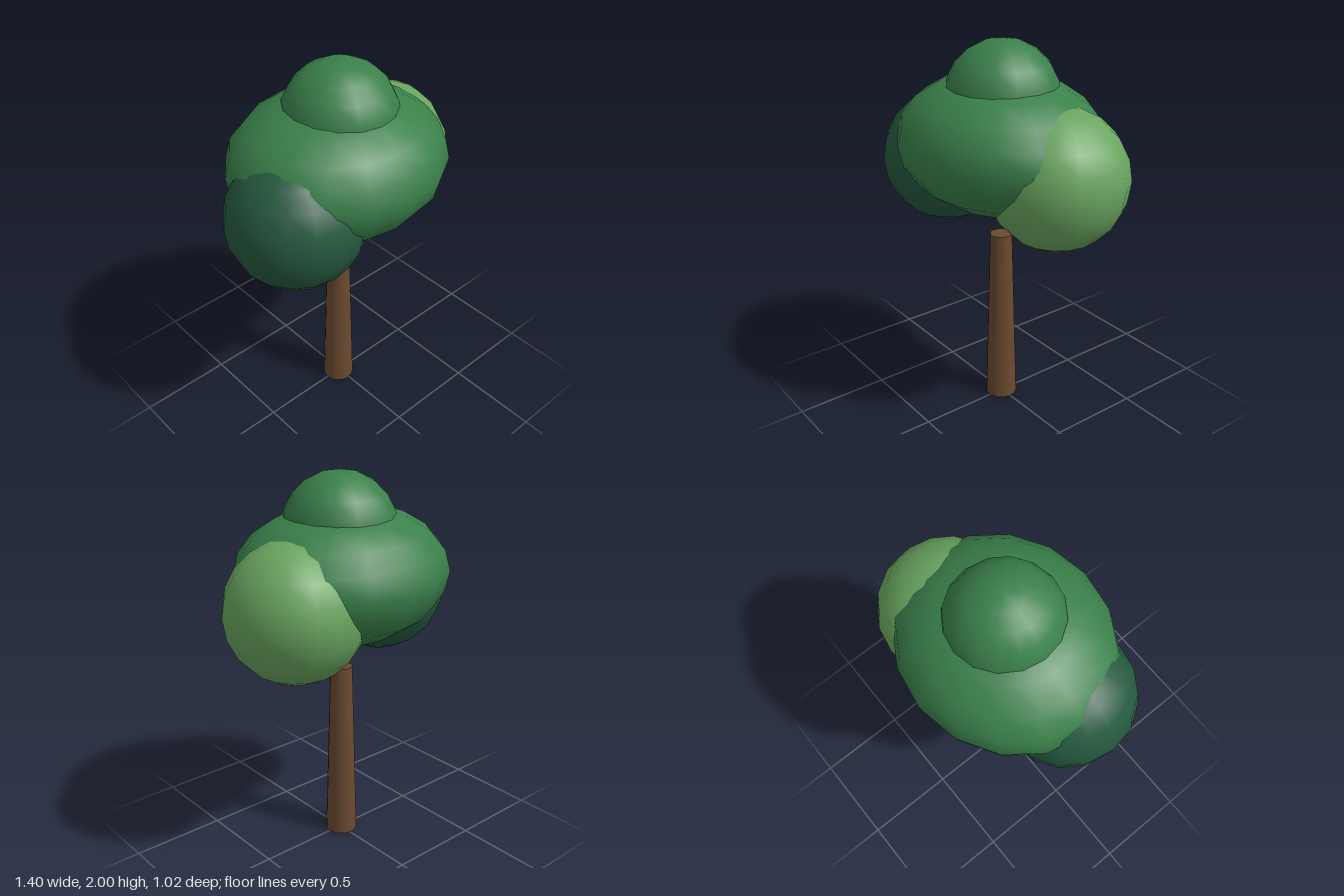
import * as THREE from 'three';

export function createModel() {
  const tree = new THREE.Group();
  tree.name = 'tree';

  function addPart(name, geometry, color, [x, y, z]) {
    const mesh = new THREE.Mesh(geometry, new THREE.MeshStandardMaterial({ color }));
    mesh.name = name;
    mesh.position.set(x, y, z);
    tree.add(mesh);
    return mesh;
  }

  // Tapered trunk, with a small gap below the foliage
  addPart('trunk', new THREE.CylinderGeometry(0.058, 0.085, 0.977, 16), 0x6b4a30, [-0.008, 0.4885, 0]);

  // Foliage clumps: name, colour, centre, radii
  const clumps = [
    ['mainCrown', 0x3a804a, [-0.007, 1.485, -0.003], [0.58, 0.35, 0.51]],
    ['topCrown', 0x3a804a, [0.004, 1.709, 0], [0.291, 0.291, 0.291]],
    ['leftCrown', 0x69a55f, [0.344, 1.37, -0.073], [0.356, 0.356, 0.356]],
    ['rightCrown', 0x25593f, [-0.353, 1.34, 0.085], [0.347, 0.347, 0.347]],
  ];
  for (const [name, color, centre, radii] of clumps) {
    const clump = addPart(name, new THREE.SphereGeometry(1, 16, 10), color, centre);
    clump.scale.set(...radii);
  }

  // The main crown leans slightly to one side
  tree.getObjectByName('mainCrown').rotation.z = -0.02;

  return tree;
}
